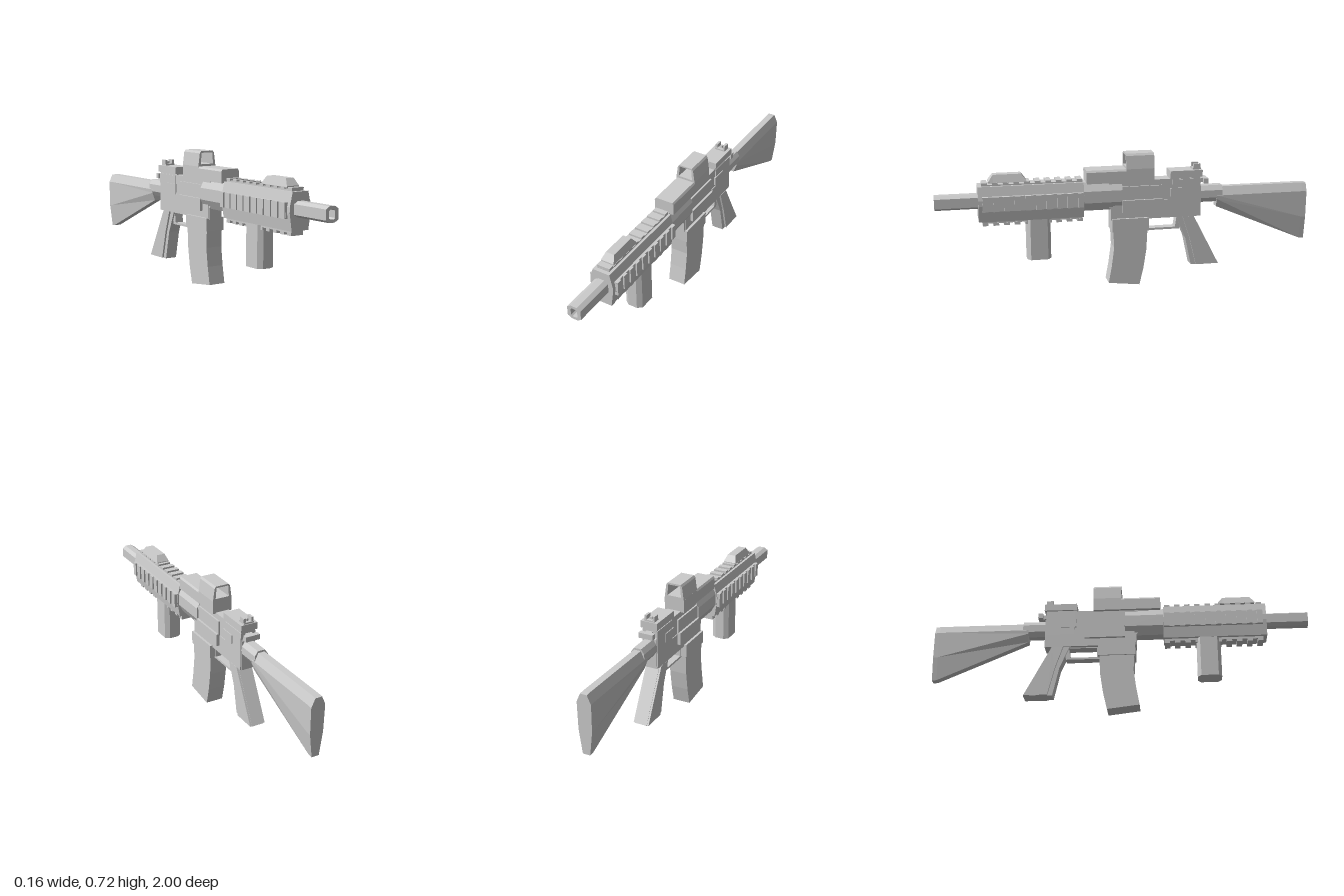
import * as THREE from 'three';

const mat = new THREE.MeshStandardMaterial({ color: 0xcccccc, flatShading: true });

export function createModel() {
  const model = new THREE.Group();

  const add = (name, geo) => {
    const mesh = new THREE.Mesh(geo, mat);
    mesh.name = name;
    model.add(mesh);
    return mesh;
  };
  const shapeOf = (pts) => new THREE.Shape(pts.map(([a, b]) => new THREE.Vector2(a, b)));
  const extrude = (shape, depth) => new THREE.ExtrudeGeometry(shape, { depth, bevelEnabled: false });

  // Box given by its limits
  const box = (name, x0, x1, y0, y1, z0, z1) =>
    add(name, new THREE.BoxGeometry(x1 - x0, y1 - y0, z1 - z0)
      .translate((x0 + x1) / 2, (y0 + y1) / 2, (z0 + z1) / 2));
  const midBox = (name, hw, y0, y1, z0, z1) => box(name, -hw, hw, y0, y1, z0, z1);

  // Side outline of [z, y] points, extruded across x
  const sidePlate = (name, pts, hw, hole) => {
    const s = shapeOf(pts);
    if (hole) s.holes.push(shapeOf(hole));
    return add(name, extrude(s, hw * 2).rotateY(-Math.PI / 2).translate(hw, 0, 0));
  };
  // Front outline of [x, y] points, extruded from z0 to z1
  const frontBar = (name, pts, z0, z1, hole) => {
    const s = shapeOf(pts);
    if (hole) s.holes.push(shapeOf(hole));
    return add(name, extrude(s, z1 - z0).translate(0, 0, z0));
  };
  // Outline mirrored in x, from the right half listed bottom to top
  const mirrored = (half) => [...half, ...half.map(([x, y]) => [-x, y]).reverse()];
  const octagon = (hw, y0, y1, cx, cy) =>
    mirrored([[hw - cx, y0], [hw, y0 + cy], [hw, y1 - cy], [hw - cx, y1]]);

  // Solid through matching outlines, ordered from back to front
  const loft = (name, sections) => {
    const n = sections[0].pts.length, pos = [], idx = [];
    sections.forEach(({ z, pts }) => pts.forEach(([x, y]) => pos.push(x, y, z)));
    for (let s = 0; s < sections.length - 1; s++) {
      for (let i = 0; i < n; i++) {
        const a = s * n + i, b = s * n + (i + 1) % n;
        idx.push(a, b, b + n, a, b + n, a + n);
      }
    }
    const last = (sections.length - 1) * n;
    for (let i = 1; i < n - 1; i++) {
      idx.push(0, i + 1, i, last, last + i, last + i + 1);
    }
    const g = new THREE.BufferGeometry();
    g.setAttribute('position', new THREE.Float32BufferAttribute(pos, 3));
    g.setIndex(idx);
    const flat = g.toNonIndexed();
    flat.computeVertexNormals();
    return add(name, flat);
  };

  // Barrel with a short bore, closed at the bottom of the bore
  frontBar('barrel', octagon(0.037, 0.465, 0.541, 0.02, 0.013), 0.76, 1,
    octagon(0.018, 0.48, 0.526, 0.008, 0.006));
  midBox('boreFloor', 0.02, 0.475, 0.53, 0.93, 0.95);

  // Handguard with rails on all four sides
  frontBar('handguard', mirrored([[0.05, 0.4], [0.063, 0.485], [0.063, 0.515], [0.047, 0.585]]), 0.235, 0.78);
  midBox('topRail', 0.034, 0.58, 0.592, 0.24, 0.76);
  midBox('bottomRail', 0.034, 0.388, 0.405, 0.24, 0.76);
  for (const s of [1, -1]) {
    const rail = new THREE.BoxGeometry(0.02, 0.077, 0.52);
    add('sideRail', rail.translate(s * 0.06, 0.497, 0.5));
  }
  const ribs = 10, pitch = 0.0545;
  for (let i = 0; i < ribs; i++) {
    const z0 = 0.24 + i * pitch, z1 = z0 + 0.029;
    midBox('topRailRib', 0.036, 0.59, 0.602, z0, z1);
    midBox('bottomRailRib', 0.036, 0.375, 0.39, z0, z1);
    for (const s of [1, -1]) {
      add('sideRailRib', new THREE.BoxGeometry(0.016, 0.077, 0.029)
        .translate(s * 0.07, 0.497, (z0 + z1) / 2));
    }
  }

  // Wedge block on the top rail
  loft('frontSightBlock', [
    { z: 0.53, pts: mirrored([[0.036, 0.6], [0.036, 0.606]]) },
    { z: 0.555, pts: mirrored([[0.036, 0.6], [0.023, 0.641]]) },
    { z: 0.7, pts: mirrored([[0.036, 0.6], [0.023, 0.641]]) },
    { z: 0.725, pts: mirrored([[0.036, 0.6], [0.036, 0.606]]) },
  ]);

  // Upright foregrip with cut corners
  const foregripPlan = [[-0.025, -0.063], [0.025, -0.063], [0.049, -0.045], [0.049, 0.045],
    [0.025, 0.063], [-0.025, 0.063], [-0.049, 0.045], [-0.049, -0.045]];
  add('foregrip', extrude(shapeOf(foregripPlan), 0.225).rotateX(-Math.PI / 2).translate(0, 0.18, 0.472));

  // Receiver and the collar behind the handguard
  frontBar('receiverCollar', octagon(0.055, 0.428, 0.58, 0.025, 0.045), 0.03, 0.24);
  sidePlate('receiver', [[-0.4, 0.37], [0.09, 0.37], [0.09, 0.43], [0.1, 0.44], [0.1, 0.58],
    [-0.395, 0.58], [-0.395, 0.54], [-0.4, 0.53]], 0.038);
  midBox('lowerReceiver', 0.042, 0.37, 0.47, -0.395, 0.08);
  midBox('boltPanel', 0.058, 0.412, 0.478, -0.185, 0.03);
  midBox('portPanel', 0.047, 0.478, 0.55, -0.185, 0.03);
  midBox('rearPanel', 0.046, 0.483, 0.53, -0.315, -0.23);
  midBox('rearSidePlate', 0.042, 0.44, 0.575, -0.395, -0.24);

  // Magazine well and curved magazine
  midBox('magazineWell', 0.055, 0.308, 0.378, -0.112, 0.085);
  sidePlate('magazine', [[0.08, 0.32], [0.075, 0.22], [0.088, 0.12], [0.105, 0.025],
    [-0.063, 0.005], [-0.085, 0.1], [-0.1, 0.2], [-0.106, 0.32]], 0.048);

  // Trigger guard loop and trigger
  sidePlate('triggerGuard', [[-0.1, 0.375], [-0.1, 0.3], [-0.285, 0.3], [-0.3, 0.375]], 0.024,
    [[-0.12, 0.365], [-0.27, 0.365], [-0.262, 0.311], [-0.12, 0.311]]);

  // Pistol grip: narrow core with a raised panel
  sidePlate('gripCore', [[-0.265, 0.375], [-0.318, 0.25], [-0.352, 0.095], [-0.505, 0.095], [-0.36, 0.375]], 0.033);
  sidePlate('gripPanel', [[-0.3, 0.37], [-0.34, 0.25], [-0.378, 0.096], [-0.503, 0.096], [-0.36, 0.37]], 0.043);

  // Optic: base, open hood and small aiming ring
  frontBar('opticBase', mirrored([[0.055, 0.575], [0.055, 0.645]]), -0.14, 0.01);
  frontBar('opticFrontBase', mirrored([[0.055, 0.575], [0.055, 0.635], [0.048, 0.645]]), 0.01, 0.22);
  frontBar('opticHood',
    mirrored([[0.055, 0.643], [0.045, 0.714], [0.037, 0.725]]), -0.14, 0.01,
    mirrored([[0.039, 0.656], [0.034, 0.716]]));
  add('aimingRing', new THREE.TorusGeometry(0.006, 0.001, 4, 10).translate(0, 0.686, -0.065));

  // Rear sight block with twin posts
  midBox('rearSightMount', 0.036, 0.575, 0.59, -0.395, -0.23);
  midBox('rearSightBlock', 0.046, 0.585, 0.622, -0.405, -0.23);
  midBox('rearSightFoot', 0.028, 0.62, 0.63, -0.4, -0.355);
  for (const x of [-0.022, 0.022]) {
    box('rearSightPost', x - 0.006, x + 0.006, 0.625, 0.652, -0.397, -0.36);
  }
  midBox('rearSightPin', 0.006, 0.625, 0.643, -0.385, -0.372);

  // Charging handle
  midBox('chargingHandleStem', 0.018, 0.548, 0.57, -0.425, -0.38);
  midBox('chargingHandle', 0.04, 0.545, 0.573, -0.44, -0.415);

  // Stock and the tube that carries it
  frontBar('stockTube', octagon(0.037, 0.44, 0.53, 0.017, 0.025), -0.52, -0.39);
  const stockSection = (z, y0, y1) => ({
    z, pts: mirrored([[0.02, y0], [0.036, y0 + (y1 - y0) * 0.4], [0.038, y1 - 0.045], [0.018, y1]]),
  });
  loft('stock', [
    stockSection(-1, 0.203, 0.518),
    stockSection(-0.975, 0.205, 0.52),
    stockSection(-0.49, 0.412, 0.52),
  ]);

  return model;
}
